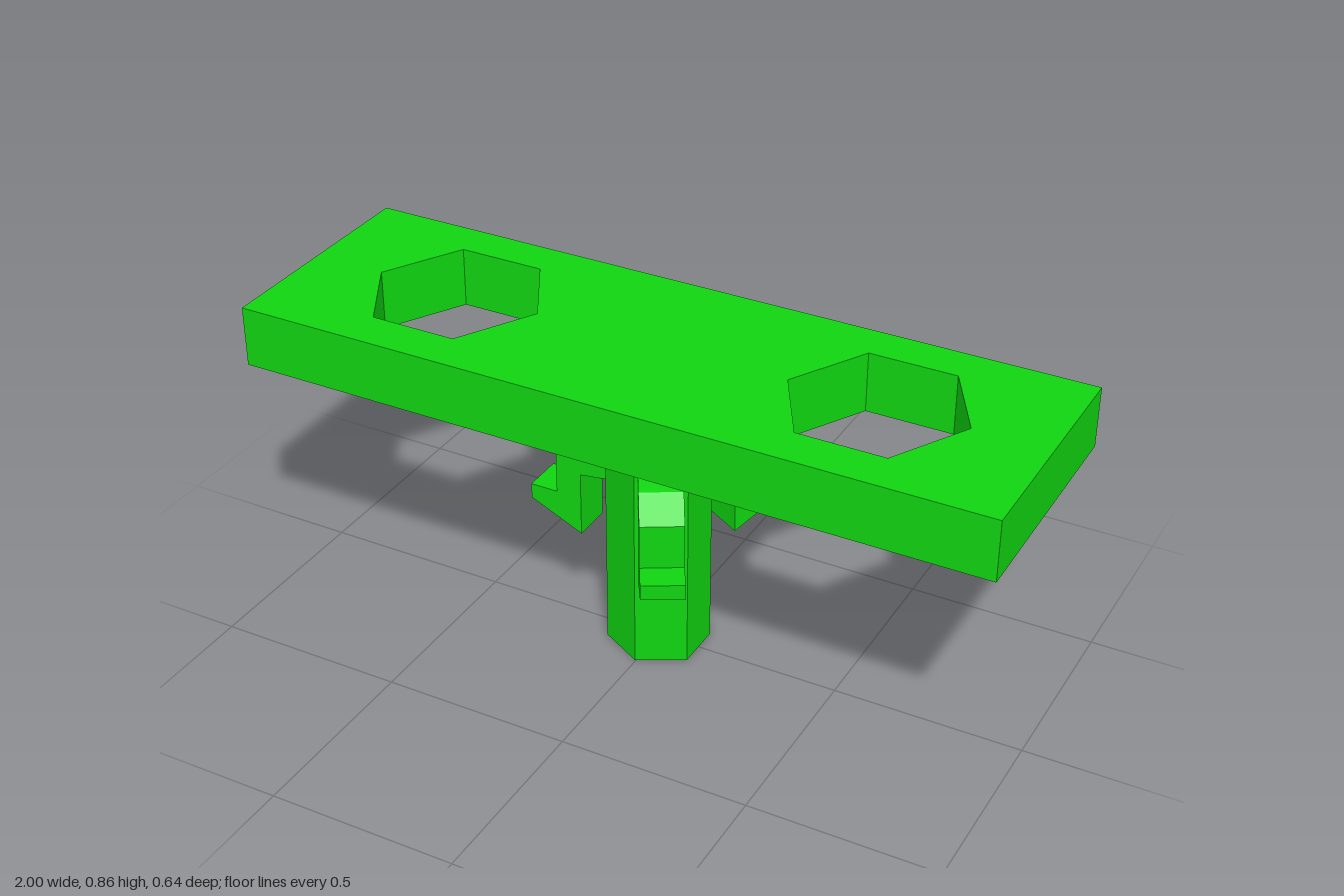
import * as THREE from 'three';

const green = new THREE.MeshStandardMaterial({ color: 0x10d410 });
green.name = 'green';
green.flatShading = true;

const points = (list) => list.map(([x, y]) => new THREE.Vector2(x, y));

// Hexagon with corners pointing along x; half width rx, half height ry
const hexagon = (cx, cy, rx, ry) => points([
  [cx + rx, cy], [cx + rx / 2, cy + ry], [cx - rx / 2, cy + ry],
  [cx - rx, cy], [cx - rx / 2, cy - ry], [cx + rx / 2, cy - ry],
]);

const extrude = (shape, depth) =>
  new THREE.ExtrudeGeometry(shape, { depth, bevelEnabled: false });

function addMesh(parent, name, geometry) {
  const mesh = new THREE.Mesh(geometry, green);
  mesh.name = name;
  parent.add(mesh);
  return mesh;
}

export function createModel() {
  const model = new THREE.Group();
  model.name = 'clipPlate';

  // Top plate with two hexagonal holes
  const plate = new THREE.Shape(points([[-1, -0.318], [1, -0.318], [1, 0.318], [-1, 0.318]]));
  for (const x of [-0.573, 0.57]) {
    plate.holes.push(new THREE.Path(hexagon(x, 0.003, 0.23, 0.206)));
  }
  addMesh(model, 'plate', extrude(plate, 0.161).rotateX(-Math.PI / 2).translate(0, 0.696, 0));

  // Hexagonal post with three snap clips around it
  const stem = new THREE.Group();
  stem.name = 'stem';
  stem.position.x = -0.002;
  model.add(stem);
  const post = new THREE.CylinderGeometry(0.128, 0.128, 0.696, 6);
  post.scale(1.05, 1, 1).translate(0, 0.348, 0);
  addMesh(stem, 'post', post);

  // Clip profile: radius from the post axis, height
  const profile = new THREE.Shape(points([
    [0.1, 0.475], [0.194, 0.463], [0.194, 0.286], [0.339, 0.352], [0.339, 0.393],
    [0.264, 0.393], [0.264, 0.512], [0.195, 0.566], [0.1, 0.582],
  ]));
  const width = 0.11;
  const clip = extrude(profile, width).translate(0, 0, -width / 2);
  [1, 3, 5].forEach((k, i) => {
    addMesh(stem, `clip${i + 1}`, clip).rotation.y = k * Math.PI / 3;
  });

  return model;
}
